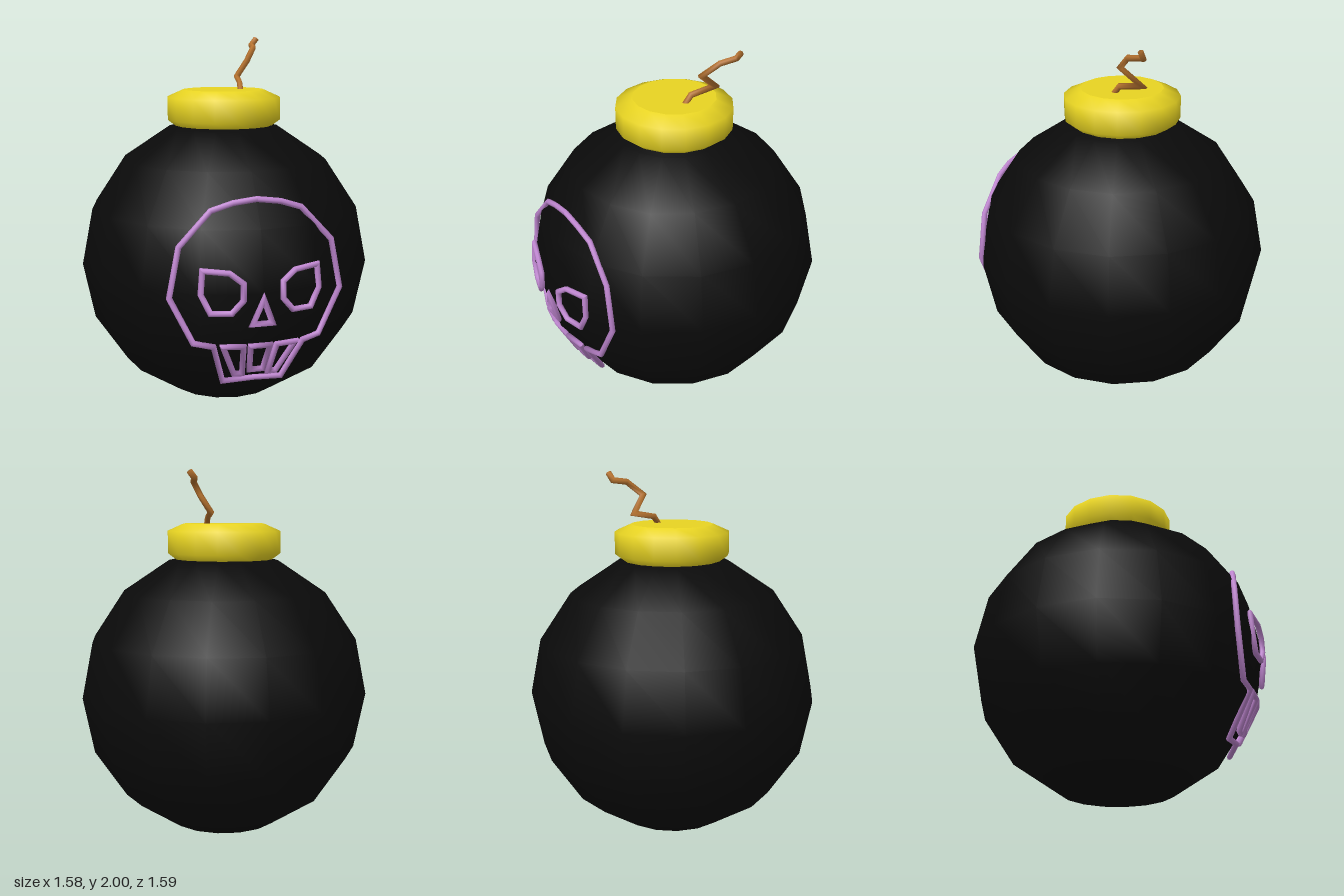
import * as THREE from 'three';

const R = 0.79; // ball radius, also its centre height
const V = (x, y, z) => new THREE.Vector3(x, y, z);
const mat = (color) => new THREE.MeshStandardMaterial({ color });

// Round rod along a polyline with mitred corners
function rod(points, radius, closed, sides = 8) {
  const n = points.length;
  const dirs = points.map((p, i) => points[(i + 1) % n].clone().sub(p).normalize());
  const side = V(0, 0, 1).cross(dirs[0]).normalize();
  const up = dirs[0].clone().cross(side);
  let ring = [];
  for (let j = 0; j < sides; j++) {
    const a = (j / sides) * Math.PI * 2;
    ring.push(points[0].clone()
      .addScaledVector(side, Math.cos(a) * radius)
      .addScaledVector(up, Math.sin(a) * radius));
  }
  const pos = [], index = [];
  const count = closed ? n + 1 : n;
  for (let i = 0; i < count; i++) {
    const k = i % n;
    const before = closed ? dirs[(k + n - 1) % n] : dirs[Math.max(k - 1, 0)];
    const after = closed ? dirs[k] : dirs[Math.min(k, n - 2)];
    const normal = before.clone().add(after).normalize();
    const travel = i === 0 ? after : before;
    // slide the ring along the segment onto the mitre plane
    ring = ring.map((p) => {
      const t = points[k].clone().sub(p).dot(normal) / travel.dot(normal);
      return p.clone().addScaledVector(travel, t);
    });
    ring.forEach((p) => pos.push(p.x, p.y, p.z));
    if (i === 0) continue;
    for (let j = 0; j < sides; j++) {
      const a = (i - 1) * sides + j, b = (i - 1) * sides + (j + 1) % sides;
      index.push(a, b, a + sides, b, b + sides, a + sides);
    }
  }
  if (!closed) {
    const last = (n - 1) * sides;
    for (let j = 1; j < sides - 1; j++) {
      index.push(0, j + 1, j, last, last + j, last + j + 1);
    }
  }
  const g = new THREE.BufferGeometry();
  g.setAttribute('position', new THREE.Float32BufferAttribute(pos, 3));
  g.setIndex(index);
  g.computeVertexNormals();
  return g;
}

export function createModel() {
  const model = new THREE.Group();
  const add = (name, geometry, material, parent = model) => {
    const mesh = new THREE.Mesh(geometry, material);
    mesh.name = name;
    parent.add(mesh);
    return mesh;
  };

  // Ball
  add('ball', new THREE.SphereGeometry(R, 16, 8), mat(0x0a0a0a)).position.y = R;

  // Bevelled collar with a flat lid
  const gold = mat(0xe8d422);
  const collar = new THREE.Group();
  collar.name = 'collar';
  collar.position.z = -0.005;
  model.add(collar);
  const profile = [[0.25, 1.515], [0.31, 1.56], [0.31, 1.68], [0.22, 1.72]];
  add('collarSide', new THREE.LatheGeometry(profile.map(([r, y]) => new THREE.Vector2(r, y)), 16), gold, collar);
  const lid = add('collarLid', new THREE.CircleGeometry(0.22, 16), gold, collar);
  lid.rotation.x = -Math.PI / 2;
  lid.position.y = 1.72;
  const base = add('collarBase', new THREE.CircleGeometry(0.25, 16), gold, collar);
  base.rotation.x = Math.PI / 2;
  base.position.y = 1.515;

  // Crooked fuse
  const fusePath = [
    [0.095, 1.69, 0.01], [0.1, 1.755, -0.04], [0.12, 1.78, -0.175], [0.15, 1.87, -0.07],
    [0.205, 1.94, -0.14], [0.22, 1.952, -0.23], [0.25, 1.99, -0.232],
  ].map((p) => V(...p));
  add('fuse', rod(fusePath, 0.016, false, 6), mat(0xb87430));

  // Skull drawn with rods laid on the ball
  const purple = mat(0xbf86d0);
  const skull = new THREE.Group();
  skull.name = 'skull';
  model.add(skull);
  const line = (name, pts, flip = 1) => {
    const path = pts.map(([x, y]) => V(x * flip, y, Math.sqrt(R * R - x * x - (y - R) ** 2)));
    add(name, rod(path, 0.015, true), purple, skull);
  };
  const half = [
    [0.12, 1.215], [0.23, 1.18], [0.39, 1.01], [0.44, 0.76],
    [0.325, 0.525], [0.23, 0.51], [0.155, 0.28],
  ];
  const mirrored = half.map(([x, y]) => [-x, y]).reverse();
  line('skullOutline', [[0, 1.23], ...half, [0, 0.3], ...mirrored]);
  line('nose', [[0, 0.76], [0.05, 0.635], [-0.05, 0.635]]);
  line('middleTooth', [[-0.05, 0.51], [0.05, 0.51], [0.035, 0.36], [-0.035, 0.36]]);

  const eye = [
    [0.29, 0.905], [0.165, 0.895], [0.1, 0.845], [0.1, 0.76],
    [0.155, 0.695], [0.255, 0.695], [0.3, 0.79],
  ];
  const tooth = [[0.185, 0.51], [0.085, 0.51], [0.068, 0.335], [0.11, 0.335]];
  for (const [prefix, flip] of [['left', 1], ['right', -1]]) {
    line(prefix + 'Eye', eye, flip);
    line(prefix + 'Tooth', tooth, flip);
  }
  return model;
}
